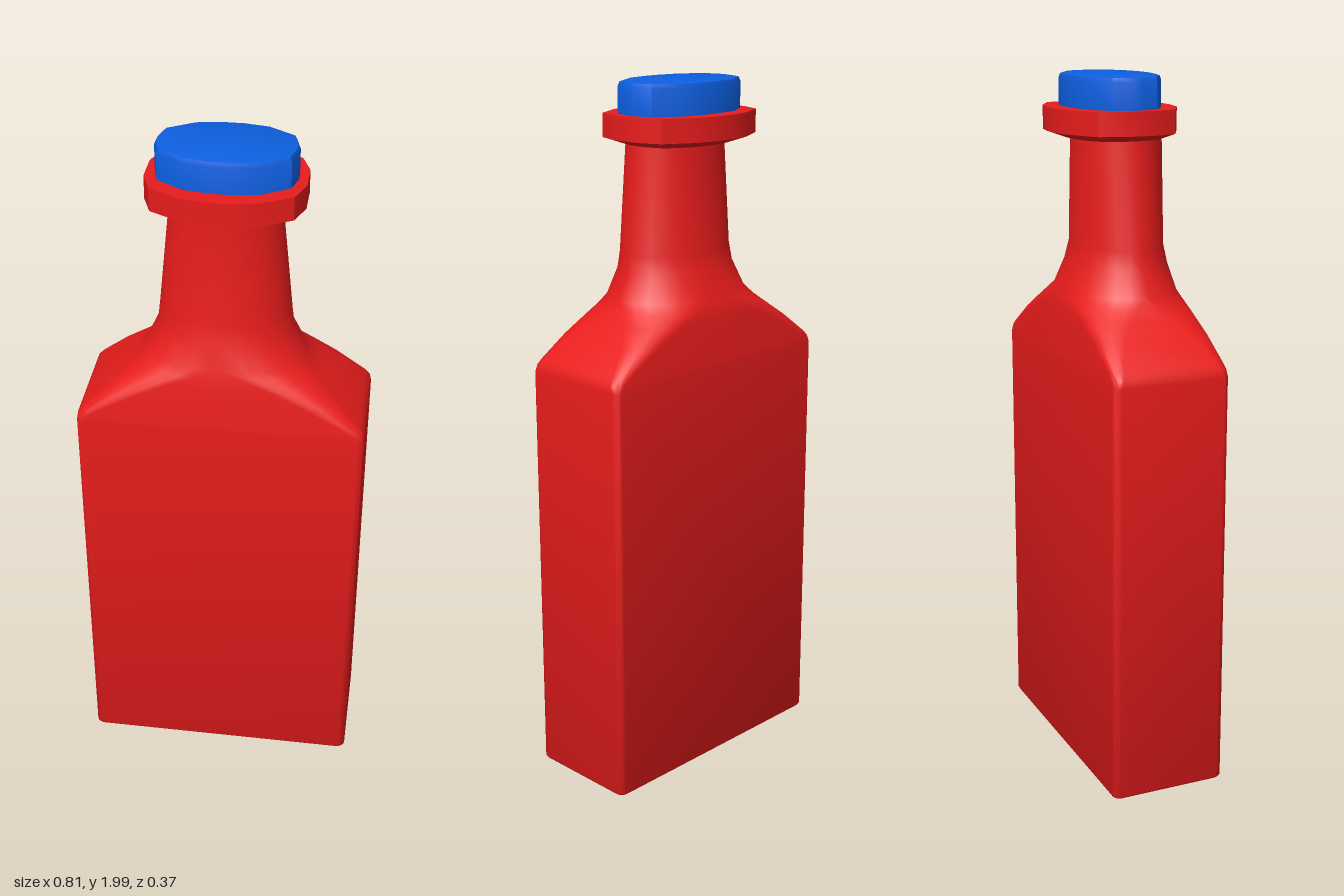
import * as THREE from 'three';
import { toCreasedNormals } from 'three/addons/utils/BufferGeometryUtils.js';

// Skin a stack of rings (arrays of [x, y, z], counterclockwise from above), closed at both ends
function loft(rings, crease) {
  const n = rings[0].length, pos = rings.flat(2), idx = [];
  for (let i = 0; i < rings.length - 1; i++) {
    for (let j = 0; j < n; j++) {
      const k = (j + 1) % n, a = i * n + j, b = i * n + k;
      idx.push(a, b, a + n, b, b + n, a + n);
    }
  }
  const addCap = (ring, start, up) => {
    const c = pos.length / 3;
    for (let d = 0; d < 3; d++) pos.push(ring.reduce((s, p) => s + p[d], 0) / n);
    for (let j = 0; j < n; j++) {
      const a = start + j, b = start + (j + 1) % n;
      idx.push(c, up ? a : b, up ? b : a);
    }
  };
  addCap(rings[0], 0, false);
  addCap(rings[rings.length - 1], (rings.length - 1) * n, true);
  const g = new THREE.BufferGeometry();
  g.setAttribute('position', new THREE.Float32BufferAttribute(pos, 3));
  g.setIndex(idx);
  return toCreasedNormals(g, crease);
}

// Rounded rectangle ring; with radii equal to the half sizes it becomes an ellipse
function roundedRing([y, hx, hz, rx, rz, dz = 0]) {
  const pts = [], steps = 6;
  for (let q = 0; q < 4; q++) {
    const sx = q === 0 || q === 3 ? 1 : -1, sz = q < 2 ? -1 : 1;
    for (let s = 0; s <= steps; s++) {
      const t = (q + (s + 0.001) / (steps + 0.002)) * Math.PI / 2;
      pts.push([sx * (hx - rx) + rx * Math.cos(t), y, sz * (hz - rz) - rz * Math.sin(t) + dz]);
    }
  }
  return pts;
}

// Sixteen-sided oval ring mirrored from one quadrant
function ovalRing(quadrant, y, scale, dz) {
  const back = quadrant.map(([x, z]) => [x, -z]);
  const half = [...back, ...back.map(([x, z]) => [-x, z]).reverse()];
  return [...half, ...half.map(([x, z]) => [-x, -z])]
    .map(([x, z]) => [x * scale, y, z * scale + dz]);
}

export function createModel() {
  const model = new THREE.Group();
  model.name = 'bottle';
  const red = new THREE.MeshStandardMaterial({ color: 0xe81c1c });
  const blue = new THREE.MeshStandardMaterial({ color: 0x0d5fe0 });
  const add = (name, geometry, material) => {
    const mesh = new THREE.Mesh(geometry, material);
    mesh.name = name;
    model.add(mesh);
  };

  // Body: flat flask, arched shoulders and tapering oval neck
  // [y, half width, half depth, corner radius x, corner radius z, z offset]
  const sections = [
    [0.015, 0.37, 0.135, 0.02, 0.02],
    [0.0, 0.386, 0.157, 0.02, 0.02],
    [0.006, 0.396, 0.166, 0.02, 0.02],
    [0.022, 0.4, 0.17, 0.02, 0.02],
    [1.215, 0.4, 0.17, 0.02, 0.02],
    [1.235, 0.397, 0.169, 0.03, 0.025],
    [1.25, 0.385, 0.168, 0.04, 0.03],
    [1.31, 0.318, 0.167, 0.08, 0.06],
    [1.355, 0.265, 0.165, 0.12, 0.1],
    [1.385, 0.233, 0.164, 0.16, 0.13],
    [1.41, 0.221, 0.157, 0.2, 0.15, 0.003],
    [1.485, 0.187, 0.135, 0.185, 0.135, 0.006],
    [1.535, 0.181, 0.122, 0.18, 0.122, 0.007],
    [1.84, 0.15, 0.122, 0.15, 0.122, 0.007],
  ];
  const rings = sections.map(roundedRing);
  // The foot edges rise gently toward both ends
  for (const p of [...rings[1], ...rings[2]]) {
    p[1] = Math.max(p[1], 0.015 * THREE.MathUtils.clamp((Math.abs(p[0]) - 0.2) / 0.18, 0, 1));
  }
  add('body', loft(rings, 0.8), red);

  // Collar: faceted ring around the mouth with a slightly sloped underside
  const collar = [[0.211, 0.045], [0.186, 0.112], [0.1, 0.158], [0.03, 0.172]];
  add('collar', loft([
    ovalRing(collar, 1.828, 0.72, -0.005),
    ovalRing(collar, 1.847, 1, -0.012),
    ovalRing(collar, 1.912, 1, -0.012),
  ], 0.6), red);

  // Stopper: oval cap with a small bevelled rim
  const stopper = [[0.187, 0.012], [0.173, 0.065], [0.1, 0.11], [0.03, 0.122]];
  add('stopper', loft([
    ovalRing(stopper, 1.908, 1, -0.012),
    ovalRing(stopper, 1.985, 1, -0.012),
    ovalRing(stopper, 1.997, 0.97, -0.012),
    ovalRing(stopper, 2.0, 0.9, -0.012),
  ], 0.6), blue);

  model.rotation.y = 0.041;
  return model;
}
